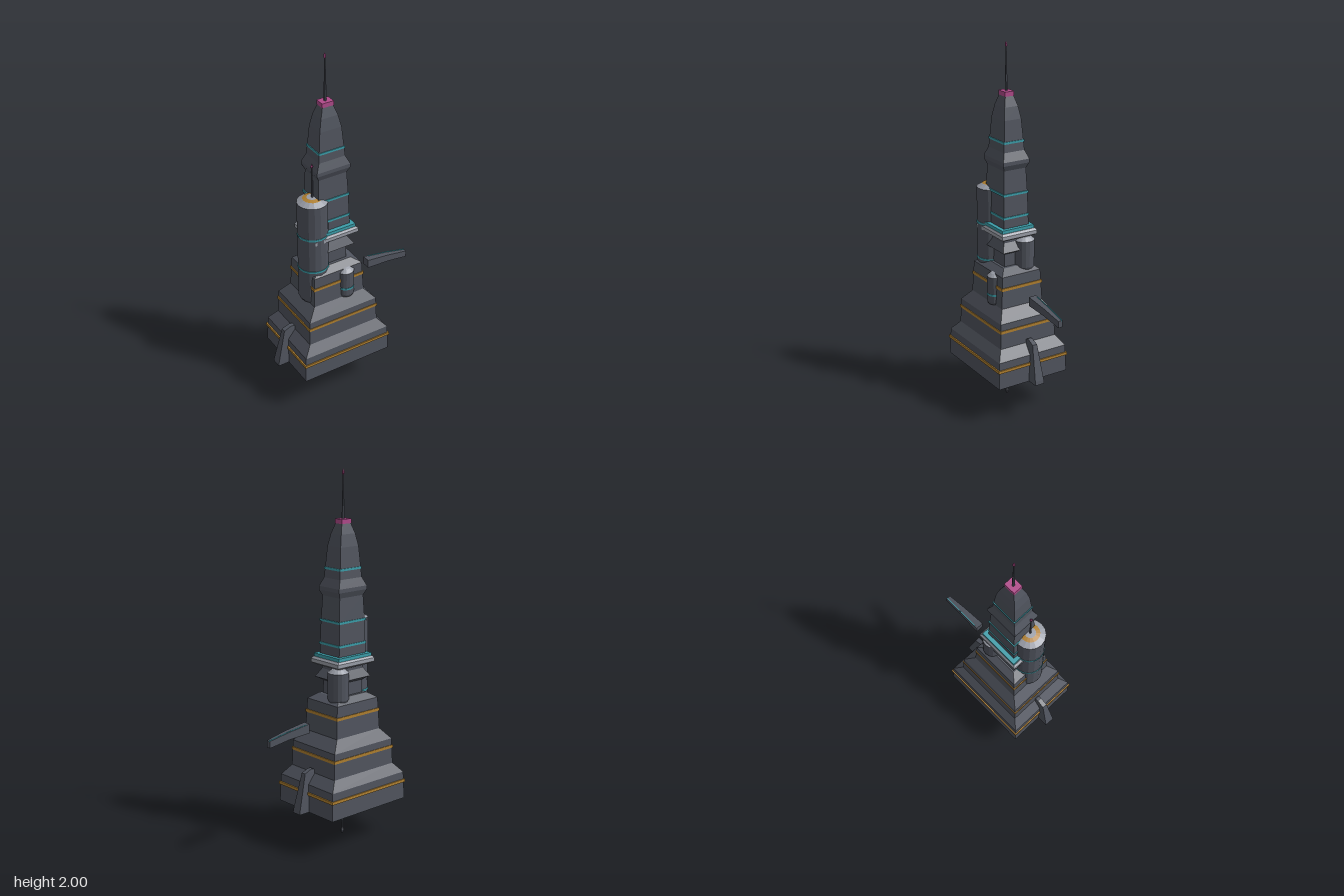
import * as THREE from 'three';

const mat = (color) => new THREE.MeshStandardMaterial({ color, flatShading: true });

export function createModel() {
  const model = new THREE.Group();
  const M = {
    hull: mat(0x50545e), dark: mat(0x383b43), pale: mat(0x9a9ea8),
    teal: mat(0x3c9eaa), gold: mat(0xb08030), pink: mat(0xb04a8a),
  };
  // everything on the tower axis goes in this group
  const tower = new THREE.Group();
  tower.name = 'tower';
  tower.position.x = -0.093;
  model.add(tower);

  const add = (parent, name, geo, material, x = 0, y = 0, z = 0) => {
    const mesh = new THREE.Mesh(geo, material);
    mesh.name = name;
    mesh.position.set(x, y, z);
    parent.add(mesh);
    return mesh;
  };

  // flat sided loft through rectangles [y, xMin, xMax, halfDepth], lowest first
  const loft = (rings) => {
    const pos = [];
    const pts = rings.map(([y, a, b, h]) => [[b, y, h], [b, y, -h], [a, y, -h], [a, y, h]]);
    const quad = (a, b, c, d) => [a, b, c, a, c, d].forEach((p) => pos.push(...p));
    for (let i = 0; i < pts.length - 1; i++) {
      for (let j = 0; j < 4; j++) {
        const k = (j + 1) % 4;
        quad(pts[i][j], pts[i][k], pts[i + 1][k], pts[i + 1][j]);
      }
    }
    quad(...pts[pts.length - 1]);
    quad(...[...pts[0]].reverse());
    const geo = new THREE.BufferGeometry();
    geo.setAttribute('position', new THREE.Float32BufferAttribute(pos, 3));
    geo.computeVertexNormals();
    return geo;
  };
  const centred = (rings) => loft(rings.map(([y, hx, hz]) => [y, -hx, hx, hz]));
  const box = (name, hx, hz, y0, y1, material) =>
    add(tower, name, new THREE.BoxGeometry(hx * 2, y1 - y0, hz * 2), material, 0, (y0 + y1) / 2, 0);
  const lathe = (profile, sides) =>
    new THREE.LatheGeometry(profile.map(([r, y]) => new THREE.Vector2(r, y)), sides);

  // stepped base
  add(tower, 'steppedBase', centred([
    [0.205, 0.266, 0.215], [0.357, 0.26, 0.21], [0.41, 0.213, 0.173], [0.55, 0.208, 0.168],
    [0.61, 0.155, 0.127], [0.785, 0.146, 0.119], [0.815, 0.1, 0.082],
  ]), M.hull);
  [[0.307, 0.269, 0.218], [0.505, 0.214, 0.173], [0.717, 0.154, 0.126]].forEach(([y, hx, hz]) =>
    box('goldBand', hx, hz, y - 0.008, y + 0.008, M.gold));

  // neck with flared skirt, then the platform
  add(tower, 'neck', centred([
    [0.81, 0.082, 0.066], [0.885, 0.08, 0.065], [0.905, 0.115, 0.094],
    [0.95, 0.085, 0.07], [0.98, 0.085, 0.07],
  ]), M.hull);
  add(tower, 'platform', centred([
    [0.972, 0.11, 0.088], [0.985, 0.131, 0.108], [1.005, 0.131, 0.108], [1.016, 0.12, 0.1],
  ]), M.pale);
  box('platformTop', 0.117, 0.099, 1.014, 1.034, M.teal);

  // spire
  add(tower, 'spire', centred([
    [1.03, 0.095, 0.077], [1.21, 0.09, 0.073], [1.345, 0.083, 0.067], [1.375, 0.098, 0.079],
    [1.395, 0.098, 0.079], [1.44, 0.077, 0.062], [1.605, 0.063, 0.051],
    [1.67, 0.049, 0.04], [1.725, 0.03, 0.024],
  ]), M.hull);
  [[1.09, 0.097, 0.079], [1.215, 0.095, 0.077], [1.49, 0.076, 0.062]].forEach(([y, hx, hz]) =>
    box('tealBand', hx, hz, y - 0.006, y + 0.006, M.teal));
  box('spireCap', 0.033, 0.027, 1.722, 1.746, M.pink);
  add(tower, 'antenna', new THREE.CylinderGeometry(0.003, 0.008, 0.24, 6), M.hull, 0, 1.86, 0);
  add(tower, 'antennaTip', lathe([[0, 1.965], [0.007, 1.978], [0.005, 1.992], [0, 2]], 6), M.pink);

  // round side towers: [name, x, z, radius, bottom, shoulder, top, teal band heights]
  [
    ['tallSilo', -0.193, 0.03, 0.082, 0.61, 1.212, 1.237, [0.815, 1.018]],
    ['frontPod', -0.04, 0.103, 0.047, 0.61, 0.765, 0.79, [0.665]],
    ['rearPod', -0.01, -0.057, 0.056, 0.79, 0.95, 0.975, []],
  ].forEach(([name, x, z, r, y0, y1, y2, bands]) => {
    const pod = new THREE.Group();
    pod.name = name;
    pod.position.set(x, 0, z);
    model.add(pod);
    add(pod, 'wall', lathe([[0, y0], [r * 0.9, y0], [r, y0 + 0.015], [r, y1]], 16), M.hull);
    add(pod, 'roof', lathe([[r, y1], [r * 0.62, y2 - 0.007], [r * 0.35, y2 - 0.002], [0, y2]], 16), M.pale);
    bands.forEach((y) =>
      add(pod, 'tealBand', new THREE.CylinderGeometry(r + 0.002, r + 0.002, 0.011, 16), M.teal, 0, y, 0));
    if (name === 'tallSilo') {
      add(pod, 'roofRing', lathe([[r * 0.63, y2 - 0.006], [r * 0.36, y2]], 16), M.gold);
      add(pod, 'siloAntenna', new THREE.CylinderGeometry(0.003, 0.006, 0.19, 6), M.hull, 0, 1.32, 0);
      add(pod, 'siloAntennaTip', new THREE.OctahedronGeometry(0.008).scale(1, 2, 1), M.pink, 0, 1.415, 0);
    }
  });

  // buttress fins on both sides
  for (const turn of [0, Math.PI]) {
    add(tower, 'buttress', loft([
      [0.205, 0.24, 0.33, 0.028], [0.225, 0.235, 0.327, 0.027],
      [0.42, 0.2, 0.279, 0.014], [0.436, 0.222, 0.238, 0.012],
    ]), M.hull).rotation.y = turn;
  }

  // detached arm, lofted along x
  const alongX = (rings) => loft(rings).rotateZ(-Math.PI / 2);
  add(model, 'floatingArm', alongX([
    [0.16, -0.693, -0.643, 0.022], [0.3, -0.675, -0.634, 0.018], [0.42, -0.652, -0.615, 0.013],
  ]), M.hull);
  add(model, 'armTrim', alongX([
    [0.18, -0.693, -0.686, 0.002], [0.3, -0.678, -0.671, 0.002], [0.421, -0.655, -0.648, 0.002],
  ]).applyMatrix4(new THREE.Matrix4().makeShear(0, 0.045, 0, 0, 0, 0)), M.teal, 0, 0, -0.026);

  // underside panel and hanging dock
  box('undersidePanel', 0.196, 0.155, 0.193, 0.207, M.dark);
  box('dockBeam', 0.13, 0.014, 0.177, 0.194, M.pale);
  box('dockHub', 0.03, 0.03, 0.172, 0.194, M.hull);
  for (const s of [-1, 1]) {
    add(tower, 'dockEnd', new THREE.BoxGeometry(0.036, 0.024, 0.09), M.hull, s * 0.124, 0.17, 0);
    // thin struts to the mast
    const path = new THREE.LineCurve3(new THREE.Vector3(s * 0.095, 0.18, 0), new THREE.Vector3(0, 0.075, 0));
    add(tower, 'strut', new THREE.TubeGeometry(path, 1, 0.002, 5), M.hull);
  }
  add(tower, 'lowerMast', new THREE.CylinderGeometry(0.009, 0.004, 0.17, 6), M.hull, 0, 0.105, 0);
  add(tower, 'mastBulb', lathe([[0, 0], [0.008, 0.01], [0.01, 0.025], [0, 0.045]], 8), M.hull);

  return model;
}
